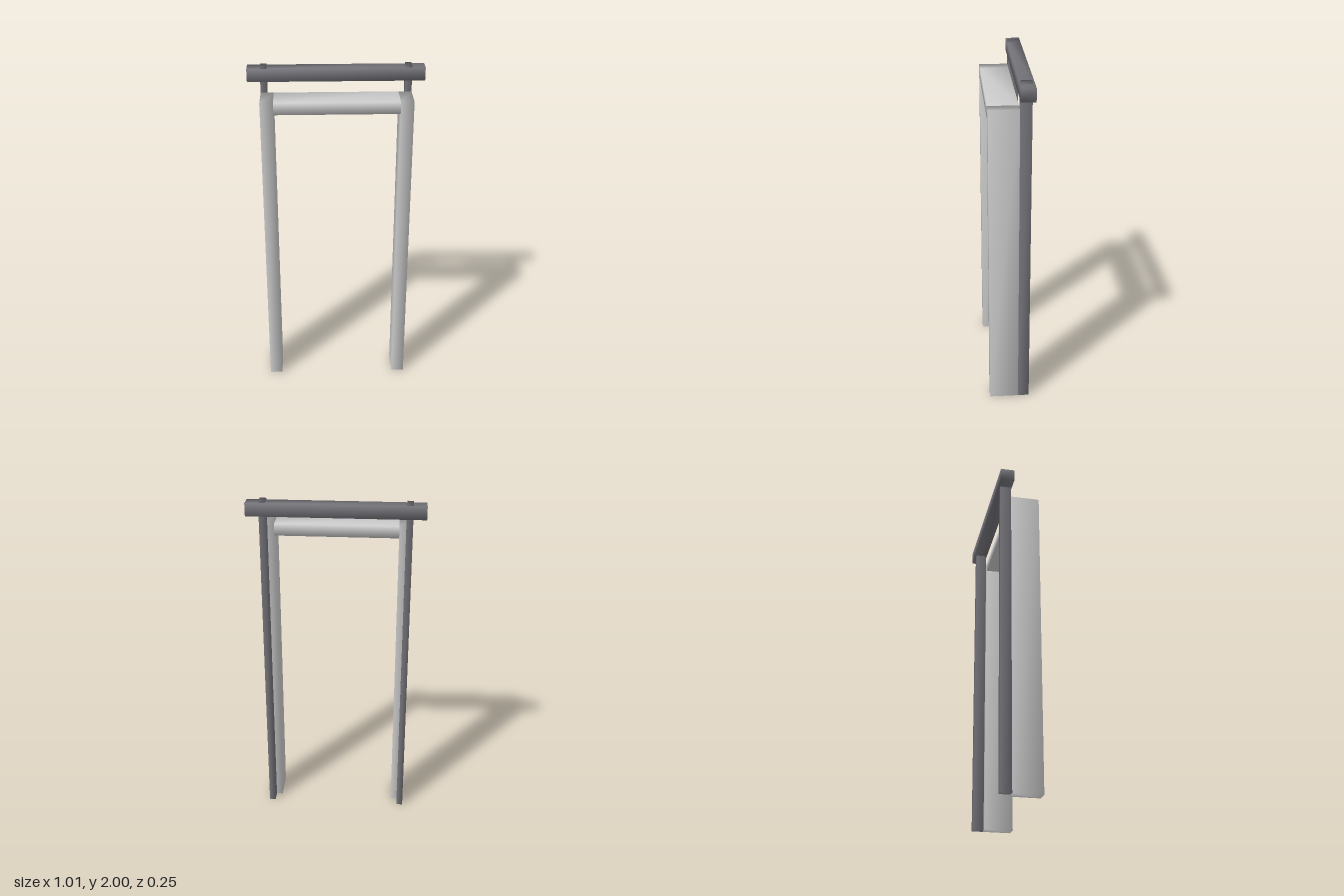
import * as THREE from 'three';
import { mergeVertices } from 'three/addons/utils/BufferGeometryUtils.js';

const grey = new THREE.MeshStandardMaterial({ color: 0xcccccc });
const dark = new THREE.MeshStandardMaterial({ color: 0x75747a });

// Box given by its extents, with shared corners for soft shading
function softBox(name, [x0, x1], [y0, y1], [z0, z1], material) {
  let geometry = new THREE.BoxGeometry(x1 - x0, y1 - y0, z1 - z0);
  geometry.deleteAttribute('normal');
  geometry.deleteAttribute('uv');
  geometry = mergeVertices(geometry);
  geometry.computeVertexNormals();
  const mesh = new THREE.Mesh(geometry, material);
  mesh.name = name;
  mesh.position.set((x0 + x1) / 2, (y0 + y1) / 2, (z0 + z1) / 2);
  return mesh;
}

export function createModel() {
  const model = new THREE.Group();
  model.name = 'doorFrame';

  // Jambs and the slim posts behind them, mirrored left and right
  for (const [side, s] of [['left', 1], ['right', -1]]) {
    const span = (inner, outer) => (s > 0 ? [inner, outer] : [-outer, -inner]);
    model.add(softBox(side + 'Jamb', span(0.355, 0.43), [0, 1.85], [-0.047, 0.125], grey));
    model.add(softBox(side + 'Post', span(0.393, 0.43), [0, 2], [-0.113, -0.047], dark));
  }

  // Lintel between the jambs
  model.add(softBox('lintel', [-0.355, 0.355], [1.78, 1.85], [-0.047, 0.125], grey));

  // Overhanging rail across the posts
  model.add(softBox('topRail', [-0.505, 0.505], [1.915, 1.99], [-0.125, -0.043], dark));

  return model;
}
